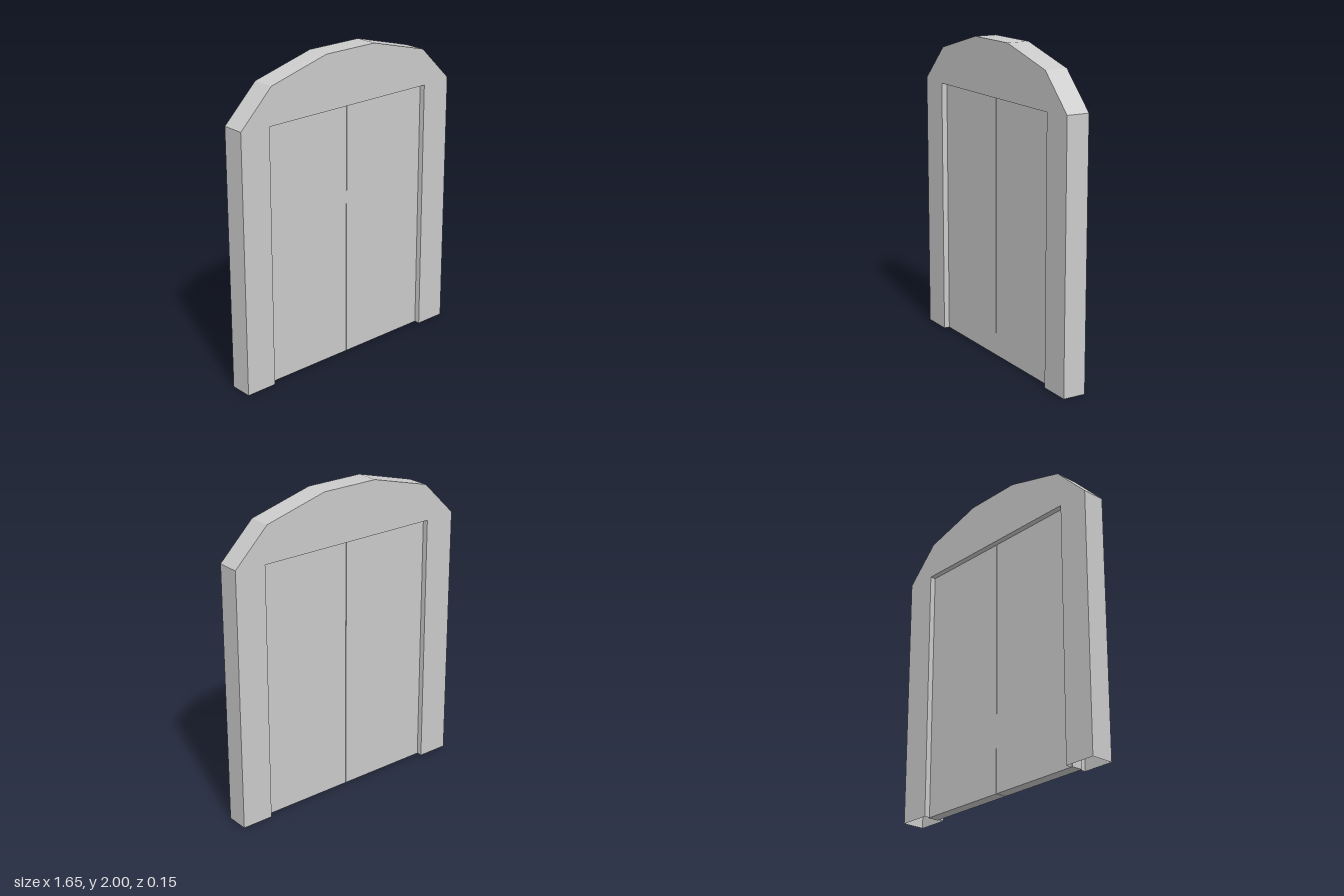
import * as THREE from 'three';
import { toCreasedNormals } from 'three/addons/utils/BufferGeometryUtils.js';

const DEPTH = 0.146, DOOR_DEPTH = 0.073, OPEN_X = 0.62, OPEN_Y = 1.655;

// Drop the triangles lying on the ground, leaving the jambs open underneath
function removeBottom(geometry) {
  const p = geometry.attributes.position;
  const kept = [];
  for (let i = 0; i < p.count; i += 3) {
    if ([0, 1, 2].every((k) => p.getY(i + k) < 1e-5)) continue;
    for (let k = 0; k < 3; k++) kept.push(p.getX(i + k), p.getY(i + k), p.getZ(i + k));
  }
  const open = new THREE.BufferGeometry();
  open.setAttribute('position', new THREE.Float32BufferAttribute(kept, 3));
  return open;
}

export function createModel() {
  const group = new THREE.Group();
  group.name = 'doubleDoor';
  const material = new THREE.MeshStandardMaterial({ color: 0xcccccc, side: THREE.DoubleSide });

  // Arched frame: faceted outer edge, square doorway
  const half = [[0.825, 0], [0.825, 1.668], [0.6, 1.89], [0.19, 2]];
  const outer = [...half, ...half.map(([x, y]) => [-x, y]).reverse()];
  const inner = [[-OPEN_X, 0], [-OPEN_X, OPEN_Y], [OPEN_X, OPEN_Y], [OPEN_X, 0]];
  const shape = new THREE.Shape([...outer, ...inner].map(([x, y]) => new THREE.Vector2(x, y)));
  const extruded = new THREE.ExtrudeGeometry(shape, { depth: DEPTH, bevelEnabled: false });
  extruded.translate(0, 0, -DEPTH / 2);
  // Shallow bends across the top are smooth, all other edges sharp
  const frame = new THREE.Mesh(toCreasedNormals(removeBottom(extruded), 0.35), material);
  frame.name = 'archedFrame';
  group.add(frame);

  // Two recessed leaves, tucked slightly into the jambs with a hairline gap between
  const gap = 0.002, edge = OPEN_X + 0.012;
  for (const side of [1, -1]) {
    const door = new THREE.Mesh(new THREE.BoxGeometry(edge - gap, OPEN_Y, DOOR_DEPTH), material);
    door.position.set((side * (edge + gap)) / 2, OPEN_Y / 2, 0);
    door.name = side > 0 ? 'leftDoor' : 'rightDoor';
    group.add(door);
  }
  return group;
}
